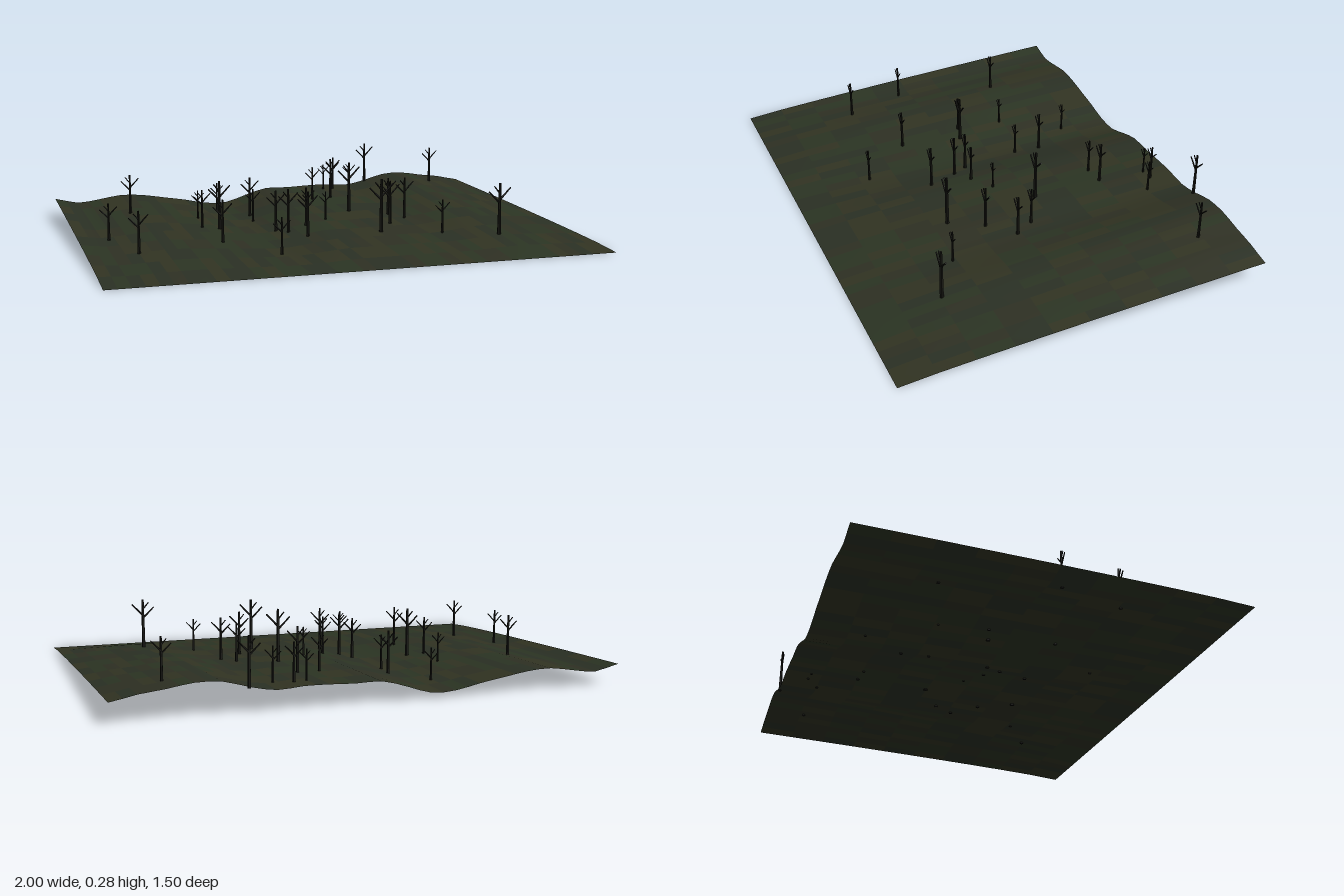
import * as THREE from 'three';

const COLS = 40, ROWS = 10, DEPTH = 1.5;

// Height of the back edge, evenly spaced from x = -1 to x = 1
const ridge = new THREE.SplineCurve(
  [0.08, 0.057, 0.068, 0.083, 0.078, 0.062, 0.046, 0.026, 0.024, 0.055, 0.082,
    0.081, 0.085, 0.086, 0.079, 0.097, 0.124, 0.127, 0.112, 0.1, 0.08]
    .map((y, i) => new THREE.Vector2(-1 + i * 0.1, y)));

// Hills fade to nothing at the front edge
function groundHeight(x, z) {
  const t = Math.max(0, (DEPTH / 2 - z) / DEPTH);
  return ridge.getPoint((x + 1) / 2).y * Math.pow(t, 0.78);
}

function seeded(seed) {
  return () => (seed = (seed * 16807) % 2147483647) / 2147483647;
}

// Open ground sheet with a patchwork of mossy shades
function makeGround() {
  const geo = new THREE.PlaneGeometry(2, DEPTH, COLS, ROWS).rotateX(-Math.PI / 2);
  const pos = geo.attributes.position;
  for (let i = 0; i < pos.count; i++) {
    pos.setY(i, groundHeight(pos.getX(i), pos.getZ(i)));
  }
  const shades = [0x2b3423, 0x2e3023, 0x313322, 0x2a3024];
  const faces = shades.map(() => []);
  const random = seeded(7);
  const index = geo.index.array;
  for (let cell = 0; cell < COLS * ROWS; cell++) {
    const shade = Math.floor(random() * shades.length);
    faces[shade].push(...index.slice(cell * 6, cell * 6 + 6));
  }
  geo.setIndex(faces.flat());
  let start = 0;
  faces.forEach((f, i) => {
    geo.addGroup(start, f.length, i);
    start += f.length;
  });
  geo.computeVertexNormals();
  const mats = shades.map((color) =>
    new THREE.MeshStandardMaterial({ color, side: THREE.DoubleSide }));
  const ground = new THREE.Mesh(geo, mats);
  ground.name = 'ground';
  return ground;
}

const bark = new THREE.MeshStandardMaterial({ color: 0x161612, flatShading: true });

// Tapered limb between two points in the tree's own plane
function limb(name, x0, y0, x1, y1, r0, r1) {
  const dx = x1 - x0, dy = y1 - y0;
  const mesh = new THREE.Mesh(
    new THREE.CylinderGeometry(r1, r0, Math.hypot(dx, dy), 5), bark);
  mesh.position.set((x0 + x1) / 2, (y0 + y1) / 2, 0);
  mesh.rotation.z = -Math.atan2(dx, dy);
  mesh.name = name;
  return mesh;
}

// Bare tree of unit height
function makeTree() {
  const tree = new THREE.Group();
  tree.add(
    limb('trunk', 0, -0.03, 0, 1, 0.04, 0.024),
    limb('leftBranch', 0, 0.67, 0.23, 0.91, 0.022, 0.014),
    limb('rightBranch', 0, 0.61, -0.23, 0.84, 0.022, 0.014),
    limb('twig', 0, 0.8, -0.12, 0.94, 0.018, 0.012));
  tree.name = 'bareTree';
  return tree;
}

// x, z and height of the tip for every tree
const trees = [
  [0.5, -0.74, 0.28], [0.255, -0.645, 0.2], [0.305, -0.65, 0.23], [0.37, -0.6, 0.21],
  [0.78, -0.585, 0.267], [-0.295, -0.535, 0.15], [0.135, -0.445, 0.217], [0.225, -0.45, 0.25],
  [-0.72, -0.365, 0.23], [-0.185, -0.365, 0.195], [-0.44, -0.285, 0.16], [-0.2, -0.255, 0.16],
  [0.21, -0.155, 0.272], [-0.465, -0.09, 0.193], [-0.395, -0.07, 0.23], [0.36, -0.065, 0.21],
  [0.06, -0.03, 0.17], [-0.17, 0, 0.19], [0.405, 0.015, 0.22], [-0.045, 0.025, 0.2],
  [-0.875, 0.05, 0.18], [-0.135, 0.065, 0.205], [0.3, 0.11, 0.225], [-0.445, 0.19, 0.195],
  [-0.09, 0.19, 0.21], [0.21, 0.24, 0.255], [-0.8, 0.31, 0.19], [0.45, 0.315, 0.17],
  [-0.265, 0.41, 0.153], [0.645, 0.44, 0.247],
];

export function createModel() {
  const model = new THREE.Group();
  model.name = 'deadForest';
  model.add(makeGround());
  const proto = makeTree();
  for (const [x, z, top] of trees) {
    const base = groundHeight(x, z);
    const tree = proto.clone();
    tree.position.set(x, base, z);
    tree.scale.setScalar(top - base);
    model.add(tree);
  }
  return model;
}
